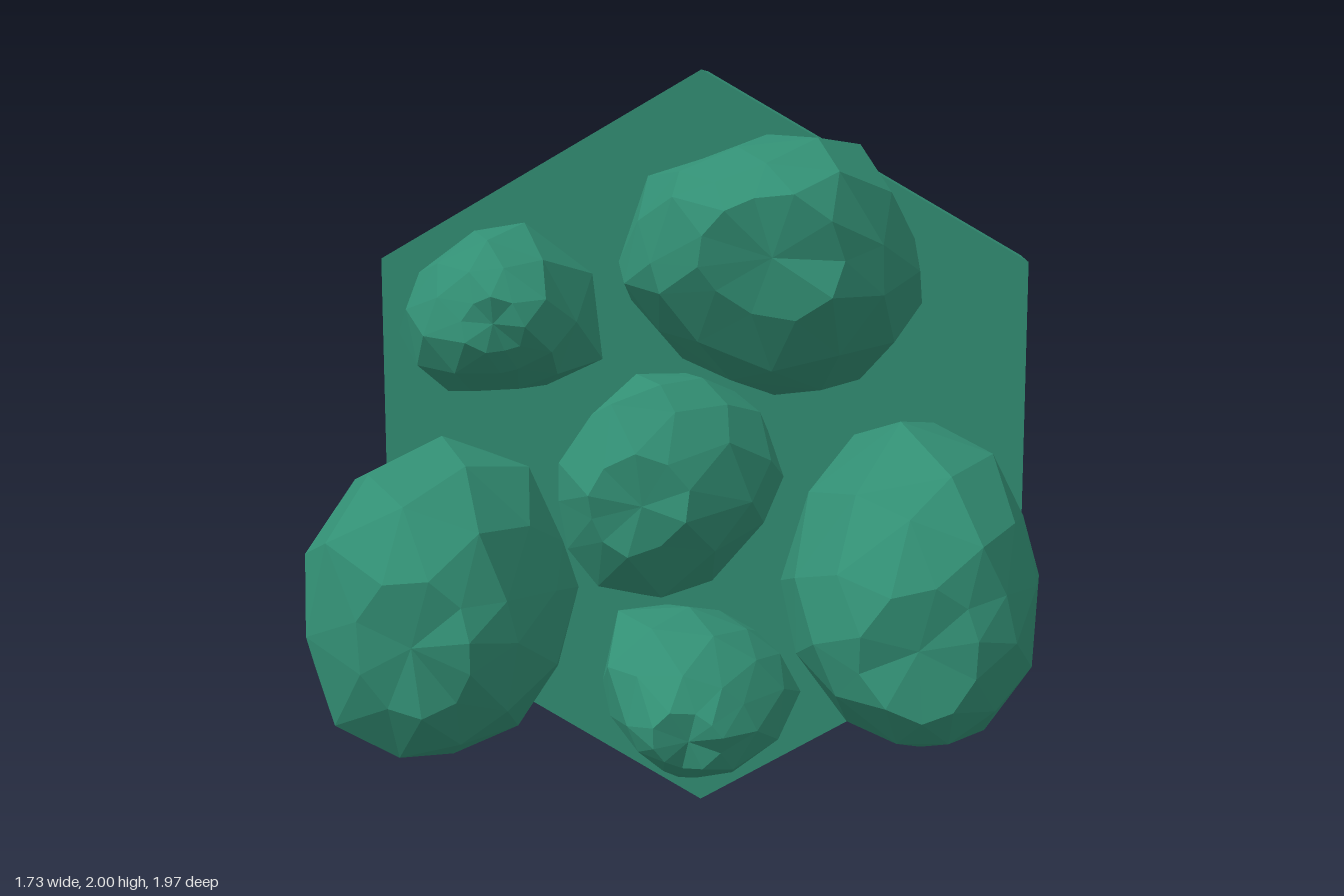
import * as THREE from 'three';

function seeded(seed) {
  let s = seed;
  return () => ((s = (s * 16807) % 2147483647) / 2147483647);
}

function material(name, color) {
  const m = new THREE.MeshStandardMaterial({ color, flatShading: true });
  m.name = name;
  return m;
}

// Six-sided slab with its corners at top and bottom, spanning z0..z1
function hexSlab(name, radius, z0, z1, mat) {
  const geo = new THREE.CylinderGeometry(radius, radius, z1 - z0, 6);
  geo.rotateX(Math.PI / 2);
  const mesh = new THREE.Mesh(geo, mat);
  mesh.name = name;
  mesh.position.set(0, 1, (z0 + z1) / 2);
  return mesh;
}

// Faceted crown: a clockwise outline repeated along z.
// Each ring is [z, scale, shiftX, shiftY]; odd rings are staggered by half a side.
function crownGeometry([cx, cy], outline, rings, seed) {
  const rand = seeded(seed);
  const n = outline.length;
  const pos = [], index = [];
  rings.forEach(([z, scale, dx, dy], j) => {
    for (let i = 0; i < n; i++) {
      const [x0, y0] = outline[i], [x1, y1] = outline[(i + 1) % n];
      const odd = j % 2;
      const x = odd ? (x0 + x1) / 2 : x0, y = odd ? (y0 + y1) / 2 : y0;
      const k = scale * (0.97 + 0.05 * rand() + 0.03 * odd);
      pos.push(cx + dx + (x - cx) * k, cy + dy + (y - cy) * k, z + (rand() - 0.5) * 0.04);
    }
  });
  const at = (j, i) => j * n + (i % n);
  for (let j = 0; j < rings.length - 1; j++) {
    for (let i = 0; i < n; i++) {
      const a = at(j, i), b = at(j, i + 1), c = at(j + 1, i), d = at(j + 1, i + 1);
      if (j % 2) index.push(a, d, b, a, c, d);
      else index.push(a, c, b, b, c, d);
    }
  }
  // Blunt ends
  const last = rings.length - 1;
  const back = pos.length / 3, front = back + 1;
  for (const j of [0, last]) pos.push(cx + rings[j][2], cy + rings[j][3], rings[j][0]);
  for (let i = 0; i < n; i++) {
    index.push(back, at(0, i), at(0, i + 1), front, at(last, i + 1), at(last, i));
  }
  const geo = new THREE.BufferGeometry();
  geo.setAttribute('position', new THREE.Float32BufferAttribute(pos, 3));
  geo.setIndex(index);
  geo.computeVertexNormals();
  return geo;
}

// Seven-sided trunk rising from the tile along +z
function trunkGeometry([x, y, radius]) {
  const z0 = -0.37, z1 = 0;
  const geo = new THREE.CylinderGeometry(radius * 0.94, radius, z1 - z0, 7);
  geo.rotateX(Math.PI / 2);
  geo.rotateZ(x * 10);
  geo.translate(x, y, (z0 + z1) / 2);
  return geo;
}

export function createModel() {
  const model = new THREE.Group();
  model.name = 'forestTile';
  const green = material('leafGreen', 0x328f74);
  const soil = material('soilBrown', 0x52291f);
  const bark = material('barkBrown', 0x8f593d);

  // Tile
  model.add(hexSlab('soilBase', 0.985, -0.98, -0.62, soil));
  model.add(hexSlab('grassTop', 1, -0.62, -0.355, green));

  function addTree(name, trunk, centre, outline, rings, seed) {
    const tree = new THREE.Group();
    tree.name = name;
    const crown = new THREE.Mesh(crownGeometry(centre, outline, rings, seed), green);
    crown.name = 'crown';
    const stem = new THREE.Mesh(trunkGeometry(trunk), bark);
    stem.name = 'trunk';
    tree.add(crown, stem);
    model.add(tree);
  }

  addTree('upperLeftTree', [0.26, 1.54, 0.1], [0.21, 1.54],
    [[-0.15, 1.54], [-0.08, 1.74], [0.05, 1.78], [0.2, 1.845], [0.42, 1.82],
      [0.55, 1.6], [0.56, 1.45], [0.42, 1.27], [0.22, 1.23], [0, 1.31], [-0.12, 1.45]],
    [[-0.1, 0.47, 0.02, -0.06], [0, 0.85, 0.02, -0.02], [0.27, 1, 0, 0],
      [0.6, 0.92, 0.02, 0.02], [0.88, 0.7, 0.02, 0.04], [0.97, 0.42, 0.03, 0.06]], 1301);

  addTree('upperRightTree', [-0.43, 1.41, 0.06], [-0.46, 1.41],
    [[-0.72, 1.35], [-0.67, 1.5], [-0.53, 1.6], [-0.4, 1.62], [-0.23, 1.5],
      [-0.21, 1.29], [-0.35, 1.22], [-0.42, 1.21], [-0.6, 1.2]],
    [[-0.14, 0.35, 0.01, -0.02], [-0.03, 0.75, 0, 0], [0.1, 1, 0, 0],
      [0.28, 0.86, 0, 0], [0.41, 0.6, 0.02, 0], [0.47, 0.32, 0.04, 0]], 9220);

  addTree('centreTree', [-0.02, 1.03, 0.078], [-0.015, 1],
    [[-0.27, 1], [-0.27, 1.1], [-0.13, 1.26], [0.04, 1.25], [0.18, 1.16],
      [0.24, 1], [0.15, 0.87], [0, 0.73], [-0.17, 0.77], [-0.25, 0.87]],
    [[-0.16, 0.45, 0, -0.02], [-0.08, 0.8, 0.02, 0.02], [0.1, 0.98, 0, 0],
      [0.35, 1, 0, 0], [0.58, 0.85, -0.02, 0.02], [0.69, 0.45, -0.04, 0.03]], 17139);

  addTree('lowerRightTree', [-0.565, 0.71, 0.09], [-0.56, 0.77],
    [[-0.865, 0.75], [-0.8, 1.02], [-0.58, 1.125], [-0.36, 1.06], [-0.28, 0.87],
      [-0.25, 0.75], [-0.29, 0.55], [-0.42, 0.44], [-0.6, 0.41], [-0.78, 0.5]],
    [[-0.11, 0.45, -0.06, 0.03], [0.02, 0.77, -0.03, 0.02], [0.3, 0.98, 0, 0],
      [0.6, 1, 0, 0], [0.87, 0.77, 0.02, 0.01], [0.965, 0.43, 0.04, 0]], 25058);

  addTree('lowerLeftTree', [0.55, 0.78, 0.095], [0.55, 0.825],
    [[0.24, 0.78], [0.3, 1], [0.52, 1.18], [0.74, 1.1], [0.82, 0.95],
      [0.855, 0.8], [0.79, 0.58], [0.65, 0.48], [0.49, 0.47], [0.3, 0.62]],
    [[-0.1, 0.52, 0, 0.01], [0, 0.88, -0.01, 0.02], [0.3, 1, 0, 0],
      [0.65, 0.92, 0, -0.02], [0.89, 0.7, 0, -0.02], [0.965, 0.42, 0, -0.04]], 32977);

  addTree('bottomTree', [0, 0.435, 0.058], [0.03, 0.44],
    [[-0.22, 0.45], [-0.18, 0.63], [0, 0.65], [0.15, 0.6], [0.23, 0.53],
      [0.285, 0.43], [0.2, 0.28], [0.05, 0.23], [-0.08, 0.26], [-0.17, 0.35]],
    [[-0.15, 0.45, 0, 0.03], [-0.09, 0.8, 0, 0.01], [0.05, 1, 0, 0],
      [0.21, 0.92, 0, 0], [0.38, 0.62, 0, -0.01], [0.46, 0.35, 0, -0.02]], 40896);

  return model;
}
